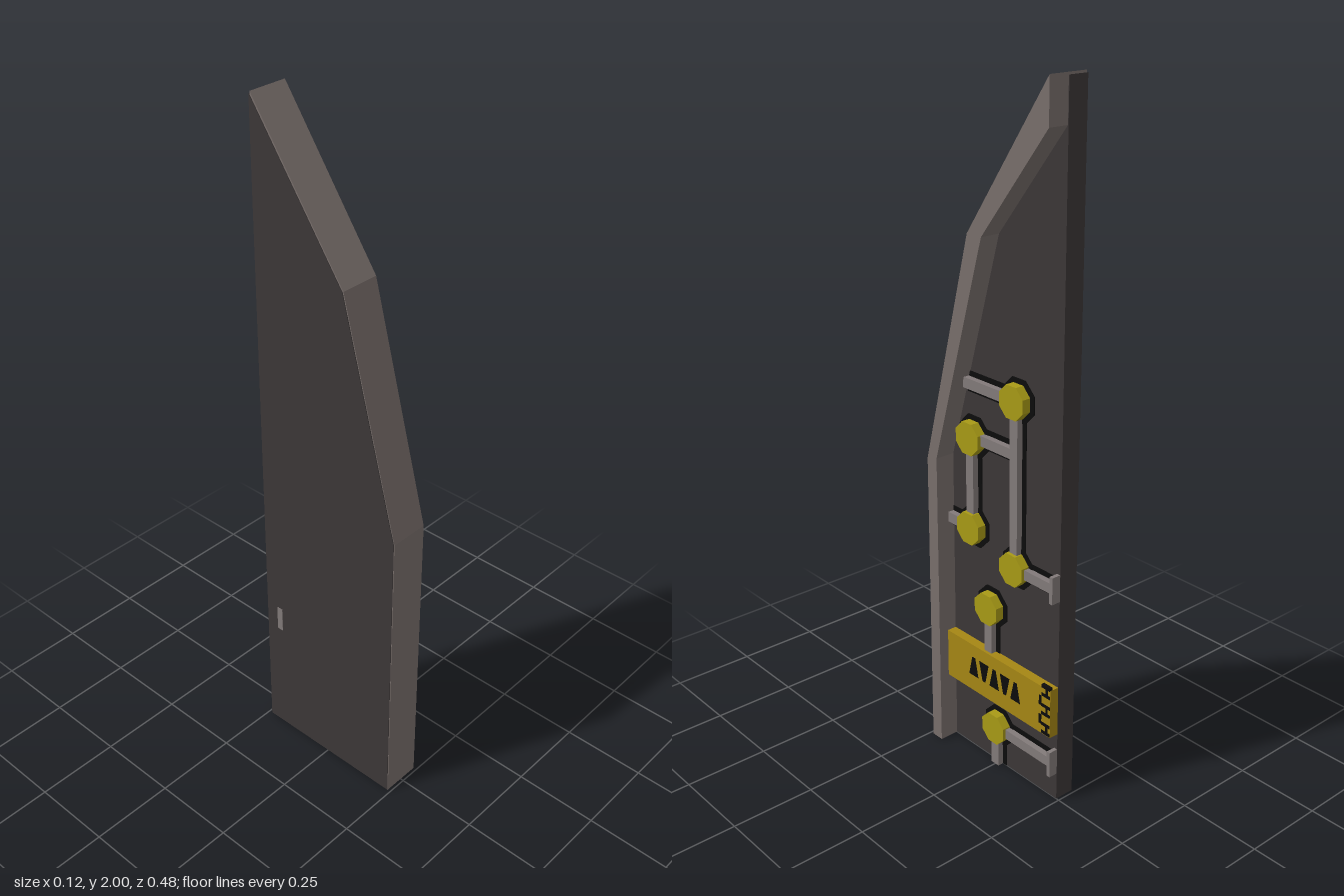
import * as THREE from 'three';

const mat = (color) => new THREE.MeshStandardMaterial({ color, flatShading: true });

export function createModel() {
  const model = new THREE.Group();
  model.name = 'armouredPanel';
  const dark = mat(0x3c3737), rimGrey = mat(0x786e6b), pipeGrey = mat(0x827a79);
  const yellow = mat(0xa89a16), bandYellow = mat(0xa58614), black = mat(0x0c0c0c);

  // Extrude an outline of [z, y] points from x0 to x1
  function slab(name, points, x0, x1, material) {
    const shape = new THREE.Shape(points.map(([z, y]) => new THREE.Vector2(-z, y)));
    const geo = new THREE.ExtrudeGeometry(shape, { depth: x1 - x0, bevelEnabled: false });
    geo.rotateY(Math.PI / 2).translate(x0, 0, 0);
    const mesh = new THREE.Mesh(geo, material);
    mesh.name = name;
    model.add(mesh);
  }
  const rect = (name, z0, z1, y0, y1, x0, x1, material) =>
    slab(name, [[z0, y0], [z1, y0], [z1, y1], [z0, y1]], x0, x1, material);

  // Octagon with flat sides facing along the axes
  const octagon = (z, y, r) => Array.from({ length: 8 }, (_, i) => {
    const a = (i + 0.5) * Math.PI / 4, k = r / Math.cos(Math.PI / 8);
    return [z + k * Math.cos(a), y + k * Math.sin(a)];
  });

  // Base plate and the raised rim along its leading edge
  slab('plate', [[0.238, 0.001], [0.238, 0.91], [0.058, 1.577], [-0.24, 1.994], [-0.24, 0]], -0.06, 0, dark);
  slab('rim', [[0.24, 0], [0.24, 0.91], [0.06, 1.58], [-0.238, 2],
    [-0.238, 1.88], [0.005, 1.58], [0.2, 0.92], [0.2, 0]], -0.058, 0.06, rimGrey);

  // Pipes: [z0, y0, z1, y1], each over a thin black backing
  const pipes = [
    [0.13, 1.155, -0.075, 1.155], [-0.075, 0.67, -0.075, 1.155],
    [0.105, 1.005, -0.075, 1.005], [0.105, 0.73, 0.105, 1.005],
    [0.205, 0.73, 0.105, 0.73], [-0.075, 0.67, -0.239, 0.67],
    [0.03, 0.36, 0.03, 0.505], [0, 0.125, -0.239, 0.125], [0, 0.001, 0, 0.125],
  ];
  pipes.forEach(([z0, y0, z1, y1], i) => {
    const upright = z0 === z1;
    const strip = (name, w, top, material) => {
      const dz = upright ? w : 0, dy = upright ? 0 : w;
      rect(name, z0 + dz, z1 - dz, y0 - dy, y1 + dy, -0.005, top, material);
    };
    strip('pipeBacking', 0.03, 0.002 + i * 0.0001, black);
    strip('pipe', 0.015, 0.02 + i * 0.0001, pipeGrey);
  });

  // Octagonal studs at the pipe joints
  const studs = [[-0.075, 1.155], [0.105, 1.0], [0.105, 0.73], [-0.075, 0.67], [0.03, 0.505], [0, 0.125]];
  for (const [z, y] of studs) {
    slab('studBacking', octagon(z, y, 0.06), -0.004, 0.004, black);
    slab('stud', octagon(z, y, 0.046), 0, 0.03, yellow);
  }

  // End tabs where pipes meet the back edge
  for (const y of [0.67, 0.125]) rect('pipeTab', -0.228, -0.24, y - 0.04, y + 0.04, 0, 0.028, pipeGrey);

  // Warning band with alternating tapered marks
  rect('band', 0.2, -0.24, 0.215, 0.365, 0, 0.029, bandYellow);
  for (let i = 0; i < 5; i++) {
    const z = 0.083 - i * 0.045, up = i % 2 === 0;
    const low = up ? 0.02 : 0.006, high = up ? 0.006 : 0.02;
    slab('bandMark', [[z + low, 0.265], [z - low, 0.265], [z - high, 0.325], [z + high, 0.325]], 0.02, 0.03, black);
  }

  // Stepped black edging at the back end of the band
  for (let i = 0; i < 3; i++) {
    const y = 0.23 + i * 0.06;
    if (i < 2) rect('bandEdging', -0.195, -0.205, y + 0.015, y + 0.045, 0.02, 0.03, black);
    rect('bandEdging', -0.205, -0.239, y - 0.013, y - 0.003, 0.02, 0.03, black);
    rect('bandEdging', -0.205, -0.239, y + 0.013, y + 0.023, 0.02, 0.03, black);
    rect('bandEdging', -0.222, -0.23, y - 0.003, y + 0.013, 0.02, 0.03, black);
  }

  // Small flush catch on the plain side
  rect('catch', -0.18, -0.2, 0.375, 0.455, -0.061, -0.05, pipeGrey);
  return model;
}
